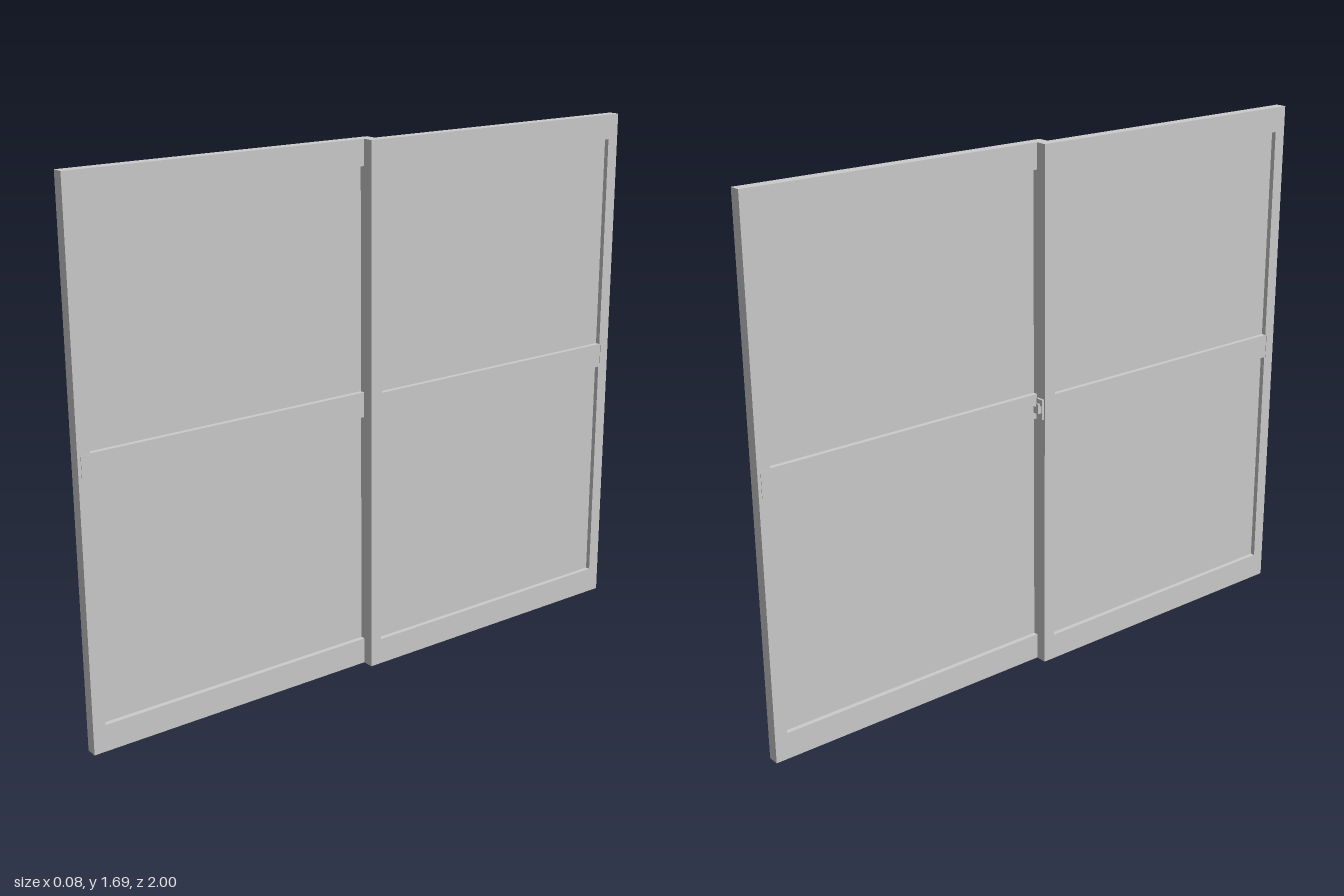
import * as THREE from 'three';

export function createModel() {
  const model = new THREE.Group();
  model.name = 'slidingDoors';
  const grey = new THREE.MeshStandardMaterial({ color: 0xcccccc });
  grey.name = 'grey';

  const HEIGHT = 1.69, THICK = 0.037, Z0 = -0.02, Z1 = 1;

  function box(parent, name, [x0, x1], [y0, y1], [z0, z1]) {
    const mesh = new THREE.Mesh(new THREE.BoxGeometry(x1 - x0, y1 - y0, z1 - z0), grey);
    mesh.position.set((x0 + x1) / 2, (y0 + y1) / 2, (z0 + z1) / 2);
    mesh.name = name;
    parent.add(mesh);
  }

  // rectangle outline, clockwise or not does not matter to the extruder
  function rect(path, u0, u1, v0, v1) {
    path.moveTo(u0, v0);
    path.lineTo(u1, v0);
    path.lineTo(u1, v1);
    path.lineTo(u0, v1);
    path.closePath();
    return path;
  }

  // One leaf: frame with two openings, thin recessed panes and finger pulls
  function makeDoor(name) {
    const door = new THREE.Group();
    door.name = name;
    const openings = [[0.085, 0.835], [0.915, 1.61]];

    // Shape u runs along -z, so the frame is drawn mirrored and turned
    const shape = rect(new THREE.Shape(), -Z1, -Z0, 0, HEIGHT);
    for (const [y0, y1] of openings) shape.holes.push(rect(new THREE.Path(), -0.96, -0.02, y0, y1));
    const geometry = new THREE.ExtrudeGeometry(shape, { depth: THICK, bevelEnabled: false });
    geometry.rotateY(Math.PI / 2);
    geometry.translate(-THICK, 0, 0);
    const frame = new THREE.Mesh(geometry, grey);
    frame.name = 'frame';
    door.add(frame);

    const mid = -THICK / 2;
    for (const [y0, y1] of openings) {
      box(door, 'pane', [mid - 0.003, mid + 0.003], [y0 - 0.005, y1 + 0.005], [0.015, 0.965]);
    }

    // Pull plates on both faces of the outer stile
    for (const x of [-THICK, 0]) {
      box(door, 'pullPlate', [x - 0.0015, x + 0.0015], [0.835, 0.912], [0.965, 0.99]);
    }
    return door;
  }

  const frontDoor = makeDoor('frontDoor');
  const backDoor = makeDoor('backDoor');
  backDoor.rotation.y = Math.PI;
  model.add(frontDoor, backDoor);

  // Small latch on the meeting edge of the front leaf
  const latch = new THREE.Group();
  latch.name = 'latch';
  box(latch, 'latchPlate', [-0.033, -0.006], [0.84, 0.905], [-0.028, -0.02]);
  box(latch, 'latchBolt', [-0.03, -0.01], [0.862, 0.884], [-0.042, -0.028]);
  box(latch, 'latchHook', [-0.03, -0.022], [0.884, 0.894], [-0.042, -0.034]);
  model.add(latch);

  return model;
}
